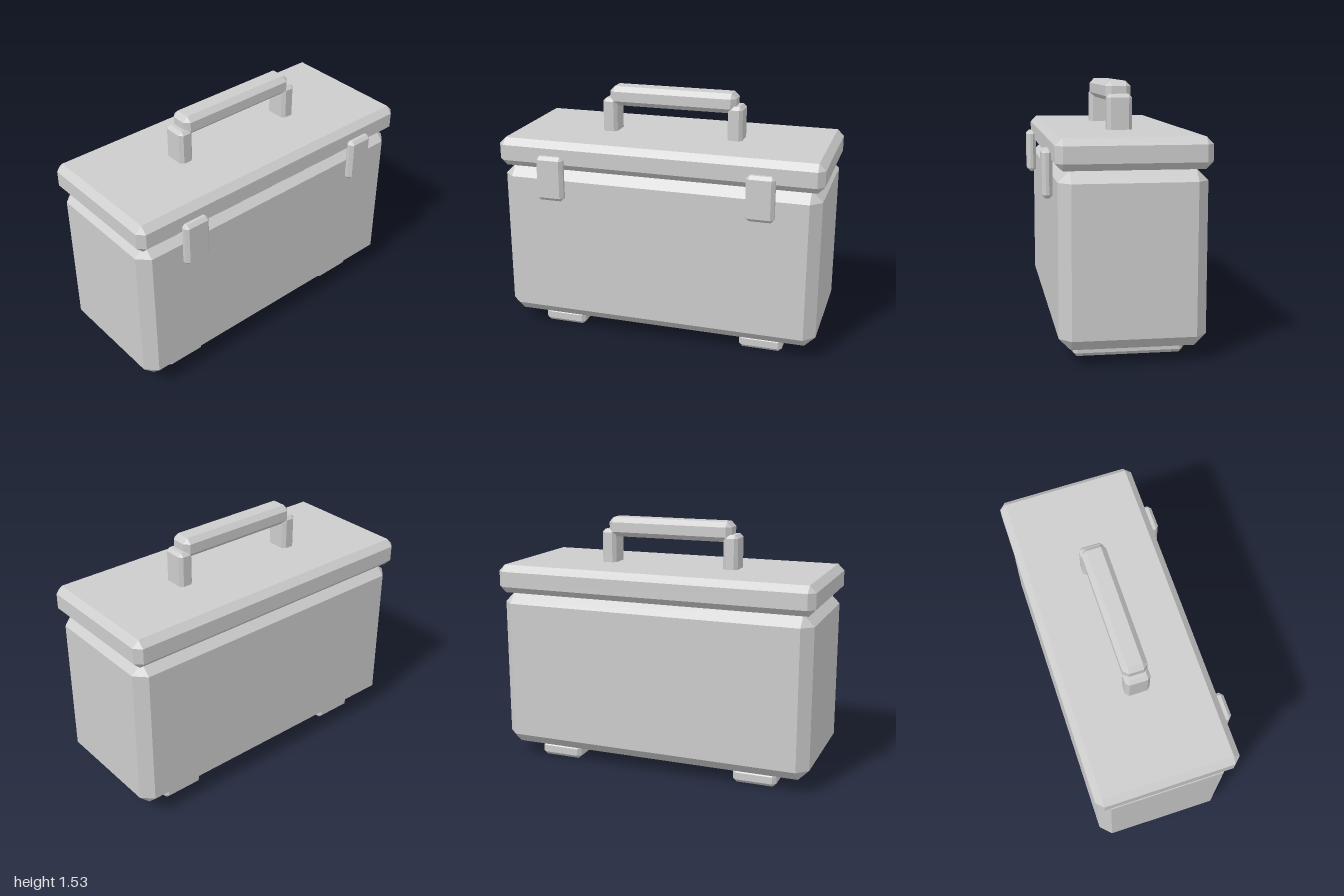
import * as THREE from 'three';
import { ConvexGeometry } from 'three/addons/geometries/ConvexGeometry.js';

// Box between two corners with every edge cut by a flat chamfer c
function chamferBox(min, max, c) {
  const center = min.map((v, i) => (v + max[i]) / 2);
  const half = min.map((v, i) => (max[i] - v) / 2);
  const points = [];
  for (const sx of [-1, 1]) for (const sy of [-1, 1]) for (const sz of [-1, 1]) {
    const s = [sx, sy, sz];
    // three points per corner, each lying on one full face
    for (let face = 0; face < 3; face++) {
      points.push(new THREE.Vector3(...s.map((d, i) => d * (half[i] - (i === face ? 0 : c)))));
    }
  }
  const geometry = new ConvexGeometry(points);
  geometry.translate(...center);
  return geometry;
}

export function createModel() {
  const group = new THREE.Group();
  group.name = 'toolbox';
  const grey = new THREE.MeshStandardMaterial({ color: 0xcccccc, flatShading: true });
  grey.name = 'light grey';

  const add = (name, min, max, c) => {
    const mesh = new THREE.Mesh(chamferBox(min, max, c), grey);
    mesh.name = name;
    group.add(mesh);
  };
  // Same part on both sides, given by its inner and outer x
  const addPair = (name, min, max, c) => {
    add('left' + name, min, max, c);
    add('right' + name, [-max[0], min[1], min[2]], [-min[0], max[1], max[2]], c);
  };

  // Box and lid
  add('body', [-0.987, 0.088, -0.435], [0.987, 1.075, 0.385], 0.066);
  add('lid', [-1, 1.075, -0.452], [1, 1.25, 0.402], 0.04);

  // Carrying handle
  add('handleBar', [-0.4, 1.412, -0.1], [0.4, 1.532, 0.048], 0.03);
  addPair('HandlePost', [0.352, 1.2, -0.1], [0.444, 1.457, 0.048], 0.02);

  // Front latches and feet
  addPair('Latch', [0.56, 0.895, 0.393], [0.73, 1.17, 0.452], 0.02);
  addPair('Foot', [0.51, 0, -0.34], [0.78, 0.088, 0.29], 0.022);

  return group;
}
